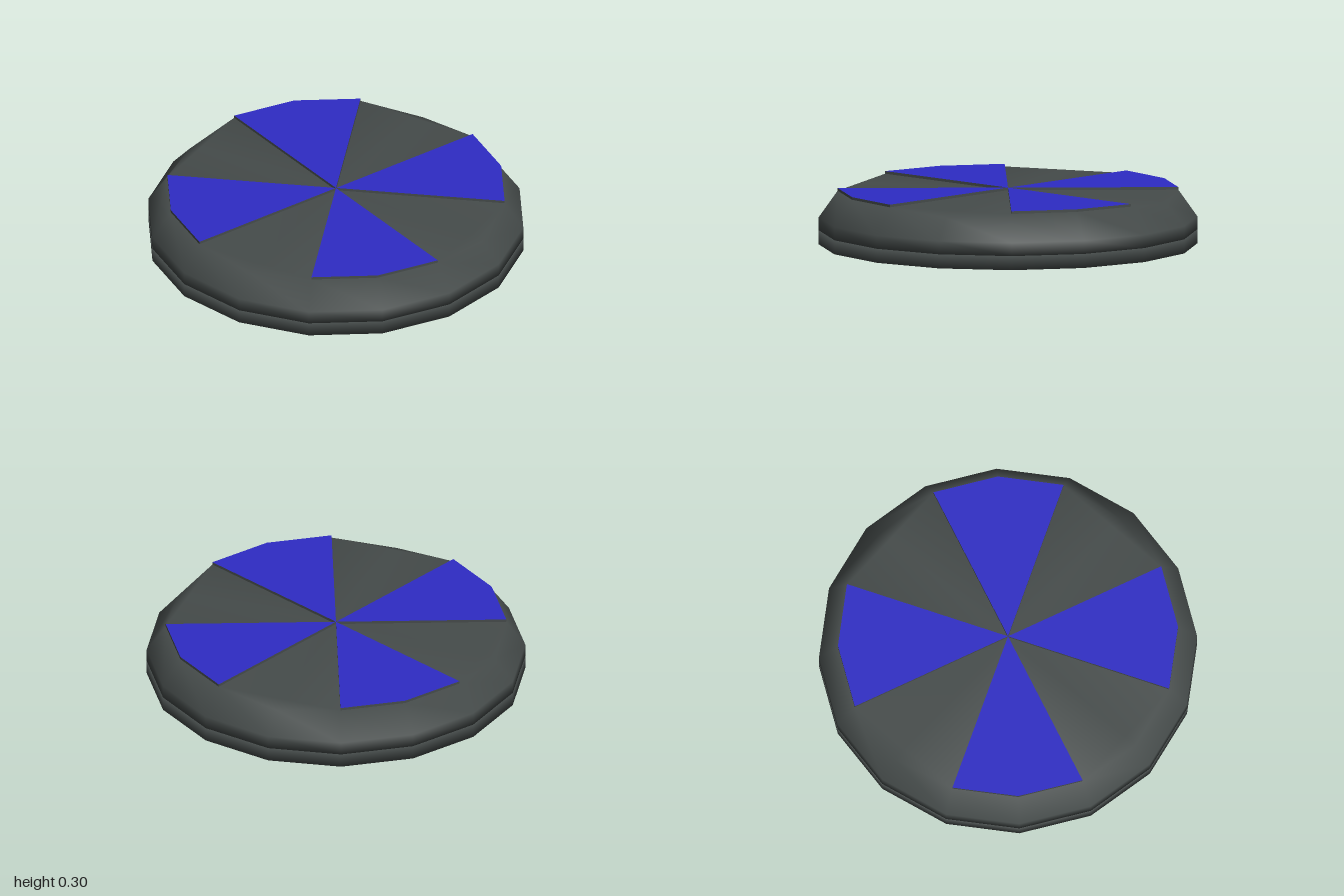
import * as THREE from 'three';
import { mergeVertices } from 'three/addons/utils/BufferGeometryUtils.js';

const SIDES = 16;
const RIM = 0.9;      // radius of the top face
const TOP = 0.286;    // height of the top face
const SEAM = 0.075;   // height where base and lid meet

// 16-sided solid turned from a profile of [radius, height], with shared smooth normals
function turned(profile, reshape) {
  const geo = new THREE.LatheGeometry(profile.map(([r, y]) => new THREE.Vector2(r, y)), SIDES);
  geo.deleteAttribute('normal');
  geo.deleteAttribute('uv');
  if (reshape) reshape(geo.attributes.position, profile.length);
  const merged = mergeVertices(geo, 1e-4);
  merged.computeVertexNormals();
  return merged;
}

// Between the blades the rim dips at its middle corner and the top is cut along a chord
function dipRim(pos, rows) {
  for (let i = 0; i < pos.count; i++) {
    const row = i % rows;
    if (row !== 3 && row !== 4) continue;
    const angle = Math.atan2(pos.getZ(i), pos.getX(i));
    const step = ((Math.round(angle / (Math.PI / 8)) % 4) + 4) % 4;
    if (step !== 3) continue;
    if (row === 3) {
      pos.setY(i, 0.257);
    } else {
      const k = Math.cos(Math.PI / 8);
      pos.setX(i, pos.getX(i) * k);
      pos.setZ(i, pos.getZ(i) * k);
    }
  }
}

export function createModel() {
  const grey = new THREE.MeshStandardMaterial({ color: 0x454b4a });
  grey.name = 'dark grey';
  const blue = new THREE.MeshStandardMaterial({ color: 0x2e2bc4 });
  blue.name = 'blue';

  const model = new THREE.Group();
  model.name = 'disc';
  const add = (name, geo, material) => {
    const mesh = new THREE.Mesh(geo, material);
    mesh.name = name;
    model.add(mesh);
    return mesh;
  };

  // Lower and upper halves of the body
  add('base', turned([[0, 0], [1, 0], [1, SEAM], [0, SEAM]]), grey);
  add('lid', turned(
    [[0, SEAM], [1, SEAM], [1, 0.145], [RIM, TOP], [RIM, TOP], [0, TOP]], dipRim), grey);

  // Four raised blades, each an eighth of the disc
  const blade = new THREE.Shape([[0, 0], ...[0, 1, 2].map((i) => [
    RIM * Math.cos(i * Math.PI / 8), RIM * Math.sin(i * Math.PI / 8)])]
    .map(([x, y]) => new THREE.Vector2(x, y)));
  const bladeGeo = new THREE.ExtrudeGeometry(blade, { depth: 0.014, bevelEnabled: false });
  bladeGeo.translate(0, 0, -0.014).rotateX(-Math.PI / 2);
  bladeGeo.rotateY(-Math.PI / 4); // shape now spans from +x towards +z
  for (let i = 0; i < 4; i++) {
    const mesh = add('blade' + (i + 1), bladeGeo, [blue, grey]);
    mesh.position.y = 0.3;
    mesh.rotation.y = -i * Math.PI / 2;
  }
  return model;
}
